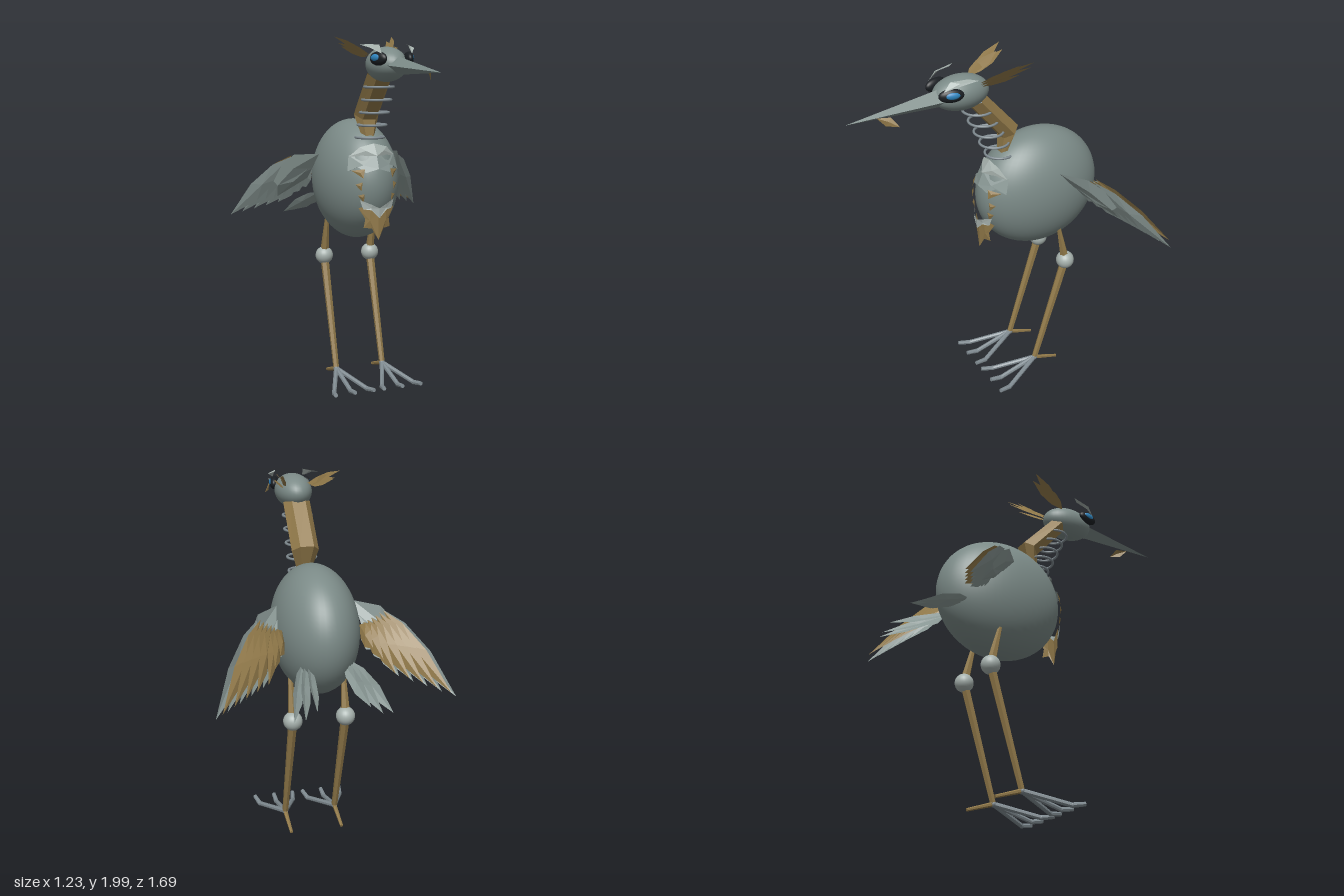
import * as THREE from 'three';

const mat = (name, color, side = THREE.FrontSide) => {
  const m = new THREE.MeshStandardMaterial({ color, side });
  m.name = name;
  return m;
};
const slate = mat('slate grey', 0x7b8a87);
const feather = mat('feather grey', 0x889693, THREE.DoubleSide);
const pale = mat('pale grey', 0xa6b1ad, THREE.DoubleSide);
const gold = mat('old gold', 0x927a4a, THREE.DoubleSide);
const steel = mat('steel', 0x7f8a90);
const dark = mat('eye black', 0x1b1f23);
const blue = mat('iris blue', 0x2f86c0);

const V = (p) => new THREE.Vector3(...p);
const mix = (a, b, t) => a.map((v, i) => v + (b[i] - v) * t);
const add = (a, b, k = 1) => a.map((v, i) => v + b[i] * k);

export function createModel() {
  const root = new THREE.Group();
  root.name = 'wadingBird';

  const put = (name, geo, material, parent = root) => {
    const m = new THREE.Mesh(geo, material);
    m.name = name;
    parent.add(m);
    return m;
  };
  const flat = (geo) => {
    const g = geo.index ? geo.toNonIndexed() : geo;
    g.computeVertexNormals();
    return g;
  };
  const group = (name) => {
    const g = new THREE.Group();
    g.name = name;
    root.add(g);
    return g;
  };
  const ball = (name, c, r, material, parent, seg = 32) => {
    const m = put(name, new THREE.SphereGeometry(1, seg, seg * 0.75), material, parent);
    m.position.set(...c);
    m.scale.set(...r);
    return m;
  };
  // Faceted tapered rod between two points
  const rod = (name, a, b, ra, rb, sides, material, parent) => {
    const d = V(b).sub(V(a));
    const m = put(name, flat(new THREE.CylinderGeometry(rb, ra, d.length(), sides)), material, parent);
    m.position.copy(V(mix(a, b, 0.5)));
    m.quaternion.setFromUnitVectors(new THREE.Vector3(0, 1, 0), d.normalize());
    return m;
  };
  // Thin plate: triangle fan round a lifted centre
  const plate = (name, pts, lift, material, parent) => {
    const c = add(pts.reduce((s, p) => add(s, p), [0, 0, 0]).map((v) => v / pts.length), lift);
    const pos = [];
    pts.forEach((p, i) => pos.push(...p, ...pts[(i + 1) % pts.length], ...c));
    const g = new THREE.BufferGeometry();
    g.setAttribute('position', new THREE.Float32BufferAttribute(pos, 3));
    return put(name, flat(g), material, parent);
  };
  // Pointed feather with half width vector w and ridge vector
  const leaf = (name, a, b, w, ridge, material, parent) => plate(name, [
    a, add(mix(a, b, 0.25), w, 0.85), add(mix(a, b, 0.6), w), b,
    add(mix(a, b, 0.6), w, -1), add(mix(a, b, 0.25), w, -0.85)], ridge, material, parent);

  // Body and head
  ball('body', [0, 1.195, -0.255], [0.228, 0.345, 0.37], slate, root, 48);
  ball('head', [0, 1.85, 0.212], [0.1, 0.092, 0.157], slate);

  // Four-sided beak with a chip on one side
  const beak = put('beak', flat(new THREE.ConeGeometry(1, 1, 4)), slate);
  beak.geometry.translate(0, 0.5, 0).rotateX(Math.PI / 2).scale(0.06, 0.048, 0.505);
  // Sink the cone's tip toward the lower jaw line
  const bp = beak.geometry.attributes.position;
  for (let i = 0; i < bp.count; i++) bp.setY(i, bp.getY(i) - 0.03 * (bp.getZ(i) / 0.505));
  beak.geometry.computeVertexNormals();
  beak.position.set(0.008, 1.845, 0.34);
  plate('beakChip', [[0.03, 1.825, 0.69], [0.045, 1.82, 0.62], [0.08, 1.775, 0.59], [0.045, 1.78, 0.65]],
    [0.004, 0.004, 0], gold);

  // Bent hexagonal neck
  const neck = group('neck');
  const stations = [[1.8, 0.13, 0.075, 0.05], [1.575, -0.067, 0.075, 0.055], [1.43, -0.035, 0.03, 0.03]];
  const ringPts = stations.map(([y, z, rx, r]) => [0, 1, 2, 3, 4, 5].map((k) => {
    const a = (k * Math.PI) / 3;
    return [rx * Math.cos(a), y + r * 0.6 * Math.sin(a), z - r * 0.9 * Math.sin(a)];
  }));
  const np = [];
  for (let s = 0; s < 2; s++) for (let k = 0; k < 6; k++) {
    const [a, b] = [ringPts[s][k], ringPts[s][(k + 1) % 6]];
    const [c, d] = [ringPts[s + 1][k], ringPts[s + 1][(k + 1) % 6]];
    np.push(...a, ...b, ...c, ...b, ...d, ...c);
  }
  const ng = new THREE.BufferGeometry();
  ng.setAttribute('position', new THREE.Float32BufferAttribute(np, 3));
  put('neckColumn', flat(ng), gold, neck);

  // Throat rings
  for (let i = 0; i < 5; i++) {
    const r = put('throatRing', new THREE.TorusGeometry(0.079, 0.007, 8, 32), steel, neck);
    r.rotation.x = Math.PI / 2;
    r.position.set(0, 1.73 - 0.07 * i, 0.115 - 0.033 * i);
  }

  // Height of the breast surface, raised by off
  const breast = (x, y, off) => [x, y,
    -0.255 + 0.37 * Math.sqrt(1 - (x / 0.228) ** 2 - ((y - 1.195) / 0.345) ** 2) + off];

  for (const s of [1, -1]) {
    const side = s > 0 ? 'left' : 'right';
    const P = (x, y, z) => [x * s, y, z];
    const mirror = (p) => [p[0] * s, p[1], p[2]];

    // Eye, brow and crest
    const face = group(side + 'Face');
    ball('eye', P(0.085, 1.88, 0.308), [0.025, 0.036, 0.066], dark, face).rotation.y = -0.25 * s;
    ball('iris', P(0.1, 1.884, 0.308), [0.015, 0.02, 0.04], blue, face, 20).rotation.y = -0.25 * s;
    plate('brow', [P(0.085, 1.905, 0.35), P(0.125, 1.935, 0.29), P(0.138, 1.952, 0.18),
      P(0.1, 1.955, 0.22), P(0.08, 1.95, 0.31)], P(0.006, 0.006, 0), pale, face);
    const crestTips = [[0.172, 2.0, -0.115], [0.145, 1.965, -0.12], [0.12, 1.975, -0.07], [0.16, 1.945, -0.04]];
    crestTips.forEach((t, i) => leaf('crestFeather', P(0.06 + 0.006 * i, 1.9 - 0.004 * i, 0.13), mirror(t),
      P(0.012, 0.016, 0.016), P(0.006, 0.008, 0), gold, face));

    // Wing: covert panels in front, grey quills, then gold quills behind
    const wing = group(side + 'Wing');
    const A = [0.2, 1.345, -0.285], B = [0.32, 1.335, -0.385], C = [0.43, 1.2, -0.55];
    const T = [0.615, 0.94, -0.755], D = [0.36, 1.02, -0.61], E = [0.23, 1.19, -0.42];
    const n = [0.55, -0.3, 0.78];
    const M = mix(mix(A, T, 0.45), D, 0.15);
    plate('upperCovert', [A, B, C, M, mix(A, E, 0.6)].map((p) => mirror(add(p, n, 0.012))),
      mirror(n.map((v) => v * 0.015)), feather, wing);
    plate('lowerCovert', [mix(A, E, 0.4), M, mix(D, M, 0.4), E].map((p) => mirror(add(p, n, 0.008))),
      mirror(n.map((v) => v * 0.012)), feather, wing);
    const tips = [T, mix(T, D, 0.25), mix(T, D, 0.5), mix(T, D, 0.75), D, mix(D, E, 0.35), mix(D, E, 0.65)];
    const across = [0.02, 0.052, 0.008];
    tips.forEach((t, i) => {
      const base = mix(mix(B, C, 0.15), mix(A, E, 0.7), i / 6);
      leaf('quill', mirror(add(base, n, -0.004 * i)), mirror(add(t, n, -0.002 * i)),
        mirror(across), mirror(n.map((v) => v * 0.012)), feather, wing);
      const gt = add(mix(base, t, 0.95), n, -0.035 - 0.003 * i);
      leaf('goldQuill', mirror(add(base, n, -0.025)), mirror(gt),
        mirror(across.map((v) => v * 0.85)), mirror(n.map((v) => v * -0.012)), gold, wing);
    });

    // Tail fan
    const tail = group(side + 'Tail');
    [[0.25, 0.925, -0.845], [0.195, 0.93, -0.85], [0.135, 0.965, -0.84]].forEach((t, i) =>
      leaf('tailFeather', P(0.125 - 0.02 * i, 1.09, -0.5), mirror(t),
        P(0.022, 0.028, 0.006), P(0.008, -0.004, 0), feather, tail));

    // Breast plates, one half each side
    const chest = group(side + 'Breast');
    plate('upperBreastPlate', [[0, 1.42], [0.08, 1.4], [0.135, 1.35], [0, 1.355]]
      .map(([x, y]) => mirror(breast(x, y, 0.02))), [0, 0, 0.015], pale, chest);
    plate('middleBreastPlate', [[0, 1.36], [0.135, 1.355], [0.15, 1.27], [0.105, 1.295], [0.07, 1.265], [0, 1.285]]
      .map(([x, y]) => mirror(breast(x, y, 0.015))), [0, 0, 0.012], feather, chest);
    [[[0.075, 1.285], [0.135, 1.275], [0.085, 1.235]], [[0.09, 1.215], [0.122, 1.2], [0.095, 1.165]],
      [[0.08, 1.15], [0.11, 1.14], [0.08, 1.1]]].forEach((t) => plate('breastBarb',
      t.map(([x, y]) => mirror(breast(x, y, 0.018))), [0, 0, 0.008], gold, chest));
    plate('lowerBreastPlate', [P(0, 1.07, 0.125), P(0.04, 1.09, 0.12), P(0.1, 1.115, 0.088),
      P(0.085, 1.065, 0.095), P(0.045, 1.06, 0.118), P(0, 1.015, 0.125)], [0, 0, 0.003], pale, chest);
    plate('breastTip', [P(0, 1.04, 0.112), P(0.045, 1.085, 0.105), P(0.105, 1.07, 0.075), P(0.07, 1.01, 0.09),
      P(0.078, 0.96, 0.085), P(0.035, 0.955, 0.1), P(0, 0.89, 0.112)], [0, 0, 0.006], gold, chest);

    // Leg and foot
    const leg = group(side + 'Leg');
    const knee = P(0.146, 0.725, -0.375), ankle = P(0.146, 0.082, -0.18);
    rod('thigh', P(0.146, 0.99, -0.315), knee, 0.01, 0.027, 6, gold, leg);
    ball('knee', knee, [0.052, 0.052, 0.052], pale, leg, 24);
    rod('shin', knee, ankle, 0.025, 0.017, 6, gold, leg);
    ball('ankle', ankle, [0.018, 0.018, 0.018], steel, leg, 12);
    for (const k of [-1, 0, 1]) {
      const joint = add(ankle, [k * 0.1, -0.057, 0.235]);
      const end = add(ankle, [k * 0.115, -0.05, 0.305]);
      joint[1] = 0.02;
      rod('toe', ankle, joint, 0.014, 0.013, 8, steel, leg);
      ball('toeJoint', joint, [0.014, 0.014, 0.014], steel, leg, 12);
      rod('toeTip', joint, end, 0.014, 0.012, 8, steel, leg);
    }
    rod('backToe', ankle, P(0.146, 0.03, -0.335), 0.013, 0.009, 6, gold, leg);
  }
  return root;
}
